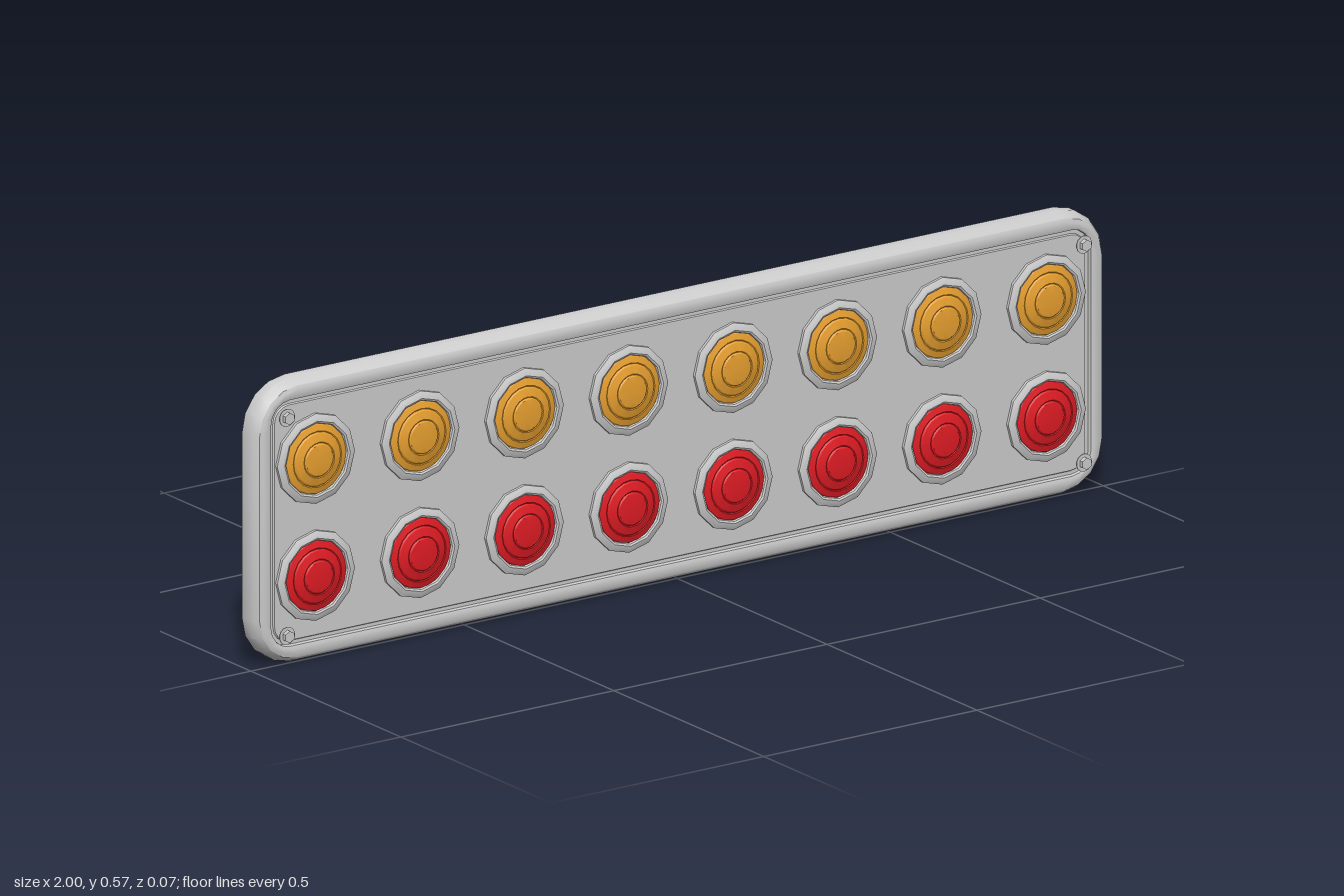
import * as THREE from 'three';
import { toCreasedNormals } from 'three/addons/utils/BufferGeometryUtils.js';

const W = 2, H = 0.573, CY = H / 2;
const grey = new THREE.MeshStandardMaterial({ color: 0xcccccc });
const amber = new THREE.MeshStandardMaterial({ color: 0xe8a030 });
const red = new THREE.MeshStandardMaterial({ color: 0xe01c24 });

// Counter-clockwise rounded rectangle with a fixed number of points
function roundedLoop(inset, radius, z, steps = 4) {
  const points = [];
  const hw = W / 2 - inset, hh = H / 2 - inset;
  [[1, 1], [-1, 1], [-1, -1], [1, -1]].forEach(([sx, sy], k) => {
    for (let i = 0; i <= steps; i++) {
      const a = (k + i / steps) * Math.PI / 2;
      points.push([
        sx * (hw - radius) + radius * Math.cos(a),
        sy * (hh - radius) + radius * Math.sin(a), z]);
    }
  });
  return points;
}

// Skin a list of [inset, cornerRadius, z] sections and close both ends
function loft(sections) {
  const loops = sections.map(s => roundedLoop(...s));
  const n = loops[0].length;
  const centre = z => Array.from({ length: n }, () => [0, 0, z]);
  loops.unshift(centre(sections[0][2]));
  loops.push(centre(sections[sections.length - 1][2]));
  const index = [];
  for (let i = 0; i < loops.length - 1; i++) {
    for (let j = 0; j < n; j++) {
      const k = (j + 1) % n;
      const a = i * n + j, b = i * n + k, c = b + n, d = a + n;
      if (i > 0) index.push(a, b, c);
      if (i === 0) index.push(a, c, d);
      else if (i < loops.length - 2) index.push(a, c, d);
    }
  }
  const g = new THREE.BufferGeometry();
  g.setAttribute('position', new THREE.Float32BufferAttribute(loops.flat(2), 3));
  g.setIndex(index);
  return toCreasedNormals(g, 0.5);
}

// Turned part whose axis faces the front; profile is [radius, z] from back to front
function turned(profile, sides) {
  const g = new THREE.LatheGeometry(profile.map(p => new THREE.Vector2(...p)), sides);
  g.rotateX(Math.PI / 2);
  return toCreasedNormals(g, 0.4);
}

function add(parent, name, geometry, material, x = 0, y = 0, z = 0) {
  const mesh = new THREE.Mesh(geometry, material);
  mesh.name = name;
  mesh.position.set(x, y, z);
  parent.add(mesh);
  return mesh;
}

export function createModel() {
  const model = new THREE.Group();
  model.name = 'lightPanel';

  // Housing: raised back plate, rounded outer rim, recessed front face
  add(model, 'housing', loft([
    [0.058, 0.004, -0.035],
    [0.054, 0.006, -0.033],
    [0.053, 0.006, -0.03],
    [0, 0.1, -0.03],
    [0, 0.1, -0.008],
    [0.005, 0.095, 0.003],
    [0.012, 0.088, 0.012],
    [0.019, 0.081, 0.015],
    [0.032, 0.055, 0.015],
    [0.038, 0.045, 0.013],
    [0.04, 0.04, 0.006],
    [0.047, 0.035, 0.006],
    [0.049, 0.033, 0.009],
  ]), grey, 0, CY);

  // Lamps: grey bezel around a stepped, domed lens
  const bezel = turned([
    [0.091, 0.007], [0.091, 0.015], [0.086, 0.018],
    [0.077, 0.02], [0.073, 0.018], [0.071, 0.012],
  ], 12);
  const lens = turned([
    [0.073, 0.012], [0.069, 0.016], [0.057, 0.0195], [0.055, 0.0185],
    [0.052, 0.021], [0.036, 0.0255], [0.034, 0.0245], [0.031, 0.027],
    [0.018, 0.0282], [0, 0.0285],
  ], 20);
  [['amberLamp', amber, 0.406], ['redLamp', red, 0.17]].forEach(([name, material, y]) => {
    for (let i = 0; i < 8; i++) {
      const lamp = new THREE.Group();
      lamp.name = name;
      lamp.position.set((i - 3.5) * 0.245, y, 0);
      add(lamp, 'bezel', bezel, grey);
      add(lamp, 'lens', lens, material);
      model.add(lamp);
    }
  });

  // Corner bolts: thin washer and hexagonal head
  const washer = new THREE.CylinderGeometry(0.018, 0.018, 0.002, 14).rotateX(Math.PI / 2);
  const head = toCreasedNormals(
    new THREE.CylinderGeometry(0.012, 0.012, 0.01, 6).rotateX(Math.PI / 2), 0.4);
  for (const sx of [-1, 1]) {
    for (const sy of [-1, 1]) {
      const bolt = new THREE.Group();
      bolt.name = 'cornerBolt';
      bolt.position.set(sx * 0.935, CY + sy * 0.22, 0);
      add(bolt, 'washer', washer, grey, 0, 0, 0.028);
      add(bolt, 'boltHead', head, grey, 0, 0, 0.033);
      model.add(bolt);
    }
  }
  return model;
}
